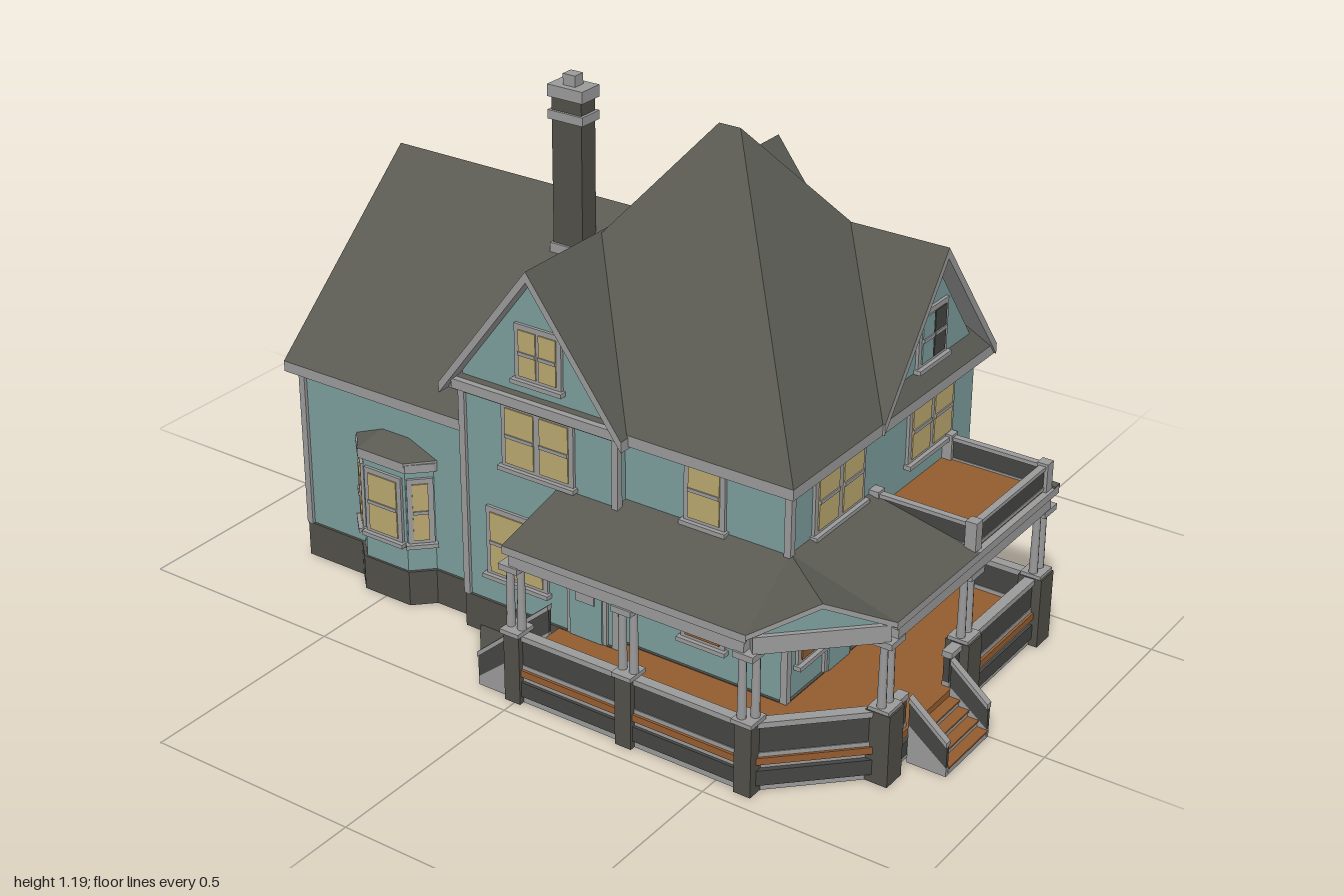
import * as THREE from 'three';

const mat = (name, color) => Object.assign(new THREE.MeshStandardMaterial({ color }), { name });

export function createModel() {
  const model = new THREE.Group();
  model.name = 'house';
  const wall = mat('teal siding', 0x7a9c9b), roof = mat('slate roof', 0x5a5a53), trim = mat('grey trim', 0x9a9a9a);
  const stone = mat('dark stone', 0x504f48), blind = mat('cream blind', 0xb9a770), wood = mat('brown wood', 0x935c30);
  const rail = mat('rail panel', 0x454643);
  const PI = Math.PI, R = PI / 2, L = -PI / 2;

  const add = (name, geo, m, parent = model) => {
    const mesh = new THREE.Mesh(geo, m);
    mesh.name = name;
    parent.add(mesh);
    return mesh;
  };
  // Box given by its limits
  const box = (name, m, x0, x1, y0, y1, z0, z1, parent) => {
    const b = add(name, new THREE.BoxGeometry(x1 - x0, y1 - y0, z1 - z0), m, parent);
    b.position.set((x0 + x1) / 2, (y0 + y1) / 2, (z0 + z1) / 2);
    return b;
  };
  const shape = (pts) => new THREE.Shape(pts.map(([a, b]) => new THREE.Vector2(a, b)));
  // Upright prism over an [x, z] footprint
  const prism = (name, m, pts, y0, y1) => {
    const g = new THREE.ExtrudeGeometry(shape(pts.map(([x, z]) => [x, -z])), { depth: y1 - y0, bevelEnabled: false });
    return add(name, g.rotateX(L).translate(0, y0, 0), m);
  };
  // Profile in [x, y] extruded along z, or in [-z, y] extruded along x
  const along = (axis, name, m, pts, a, b, parent) => {
    const g = new THREE.ExtrudeGeometry(shape(pts), { depth: b - a, bevelEnabled: false }).translate(0, 0, a);
    return add(name, axis === 'x' ? g.rotateY(R) : g, m, parent);
  };
  // Bar between two [x, z] points
  const bar = (name, m, a, b, y0, y1, w) => {
    const dx = b[0] - a[0], dz = b[1] - a[1];
    const s = add(name, new THREE.BoxGeometry(Math.hypot(dx, dz), y1 - y0, w), m);
    s.position.set((a[0] + b[0]) / 2, (y0 + y1) / 2, (a[1] + b[1]) / 2);
    s.rotation.y = -Math.atan2(dz, dx);
  };
  // Sloping roof slab: slate on top, trim on the edges and soffit
  const slab = (name, corners, t = 0.025) => {
    let p = corners.map((c) => new THREE.Vector3(...c));
    const n = p[1].clone().sub(p[0]).cross(p[2].clone().sub(p[0]));
    if (n.y < 0) p.reverse();
    const q = p.map((v) => v.clone().setY(v.y - t)), top = [], rest = [];
    for (let i = 1; i < p.length - 1; i++) {
      top.push(p[0], p[i], p[i + 1]);
      rest.push(q[0], q[i + 1], q[i]);
    }
    p.forEach((v, i) => {
      const j = (i + 1) % p.length;
      rest.push(v, q[i], q[j], v, q[j], p[j]);
    });
    const g = new THREE.BufferGeometry().setFromPoints([...top, ...rest]);
    g.addGroup(0, top.length, 0);
    g.addGroup(top.length, rest.length, 1);
    g.computeVertexNormals();
    add(name, g, [roof, trim]);
  };
  const spot = (name, x, y, z, ry) => {
    const g = new THREE.Group();
    g.name = name;
    g.position.set(x, y, z);
    g.rotation.y = ry;
    model.add(g);
    return g;
  };
  // Sash window centred at a point on a wall
  const win = (x, y, z, ry, w, h, pane = blind) => {
    const g = spot('window', x, y, z, ry), a = w / 2, b = h / 2;
    box('windowFrame', trim, -a - 0.012, a + 0.012, -b - 0.012, b + 0.012, -0.006, 0.006, g);
    box('pane', pane, -a, a, -b, b, 0.003, 0.009, g);
    box('sashBar', trim, -a, a, -0.004, 0.004, 0.006, 0.012, g);
    box('sill', trim, -a - 0.018, a + 0.018, -b - 0.018, -b - 0.008, -0.005, 0.016, g);
  };
  const door = (x, z, ry) => {
    const g = spot('door', x, 0.1, z, ry);
    box('doorFrame', trim, -0.052, 0.052, 0, 0.235, -0.006, 0.006, g);
    box('doorLeaf', wall, -0.042, 0.042, 0, 0.19, 0.003, 0.01, g);
    box('doorPanel', trim, -0.024, 0.024, 0.09, 0.17, 0.008, 0.013, g);
    box('transom', wood, -0.042, 0.042, 0.198, 0.227, 0.003, 0.01, g);
  };

  // Main walls on stone foundations
  const lower = [[-0.245, 0.53], [0.42, 0.53], [0.497, 0.45], [0.497, 0], [-0.245, 0]];
  const grow = (pts, cx, cz, d) => pts.map(([x, z]) => [x + Math.sign(x - cx) * d, z + Math.sign(z - cz) * d]);
  prism('frontFoundation', stone, grow(lower, 0.12, 0.25, 0.006), 0.015, 0.1);
  prism('frontLowerWalls', wall, lower, 0.1, 0.37);
  box('frontUpperWalls', wall, -0.245, 0.497, 0.37, 0.64, 0, 0.53);
  bar('cornerSoffit', trim, [0.36, 0.532], [0.5, 0.532], 0.365, 0.378, 0.012);
  bar('cornerSoffitSide', trim, [0.499, 0.532], [0.499, 0.13], 0.365, 0.378, 0.012);
  box('wingFoundation', stone, -0.281, 0.606, 0.015, 0.1, -0.276, 0.136);
  along('x', 'wingWalls', wall, [[-0.13, 0.1], [0.27, 0.1], [0.27, 0.64], [0.07, 0.908], [-0.13, 0.64]], -0.275, 0.6);
  box('rightWingRear', wall, 0.2, 0.6, 0.1, 0.6, -0.36, -0.2);
  box('rightWingRearFoundation', stone, 0.2, 0.606, 0.015, 0.1, -0.366, -0.2);
  box('rearFoundation', stone, -0.246, 0.566, 0.015, 0.1, -0.766, -0.1);
  along('z', 'rearWalls', wall, [[-0.24, 0.1], [0.56, 0.1], [0.56, 0.52], [0.155, 0.88], [-0.24, 0.525]], -0.76, -0.1);
  along('z', 'frontGableWall', wall, [[0.07, 0.6], [0.51, 0.6], [0.29, 0.895]], 0.4, 0.531);

  // Corner boards
  for (const [x, z, y] of [[-0.245, 0.53, 0.6], [-0.275, 0.13, 0.62], [-0.275, -0.27, 0.62], [0.6, 0.13, 0.62],
    [0.6, -0.36, 0.58], [0.56, -0.76, 0.5], [-0.24, -0.76, 0.5]])
    box('cornerBoard', trim, x - 0.008, x + 0.008, 0.1, y, z - 0.008, z + 0.008);
  // Cornices under the eaves
  const cornices = [[[-0.26, 0.54], [0.51, 0.54]], [[-0.255, 0.54], [-0.255, 0.13]], [[0.507, 0.54], [0.507, 0.13]],
    [[0.5, 0.14], [0.615, 0.14]], [[-0.29, 0.14], [-0.24, 0.14]], [[0.61, 0.145], [0.61, -0.36]],
    [[-0.285, 0.145], [-0.285, -0.285]], [[-0.29, -0.28], [-0.2, -0.28]]];
  for (const [a, b] of cornices) bar('cornice', trim, a, b, 0.603, 0.625, 0.022);

  // Steep hip roof
  const e = 0.62, h = 1.155, A = [0.12, h, 0.16], B = [0.12, h, 0.107];
  const FL = [-0.285, e, 0.56], FR = [0.527, e, 0.56], BL = [-0.285, e, -0.3], BR = [0.527, e, -0.3];
  slab('hipFront', [FL, FR, A]);
  slab('hipBack', [BL, BR, B]);
  slab('hipLeft', [FL, A, B, BL]);
  slab('hipRight', [FR, A, B, BR]);
  // Front gable, cross gable and rear gable roofs
  slab('frontGableLeft', [[0.29, 0.93, 0.565], [0.055, e, 0.565], [0.055, e, 0.5], [0.29, 0.93, 0.32]]);
  slab('frontGableRight', [[0.29, 0.93, 0.565], [0.53, e, 0.565], [0.53, e, 0.3], [0.29, 0.93, 0.3]]);
  for (const z of [0.166, -0.308])
    slab('crossGable', [[-0.31, 0.93, -0.07], [0.633, 0.93, -0.07], [0.633, 0.615, z], [-0.31, 0.615, z]]);
  for (const x of [-0.272, 0.584])
    slab('rearGable', [[0.155, 0.9, -0.787], [x, 0.515, -0.787], [x, 0.515, -0.09], [0.155, 0.9, -0.09]]);
  slab('sideShed', [[0.39, 0.695, -0.388], [0.633, 0.6, -0.388], [0.633, 0.6, -0.2], [0.39, 0.695, -0.2]]);

  // Chimney
  box('chimneyShaft', stone, 0.048, 0.097, 0.6, 1.17, -0.27, -0.192);
  box('chimneyFlashing', trim, 0.042, 0.103, 0.75, 0.82, -0.276, -0.186);
  for (const [y0, y1] of [[1.105, 1.125], [1.155, 1.182]]) box('chimneyBand', trim, 0.042, 0.103, y0, y1, -0.277, -0.185);
  box('chimneyPot', trim, 0.058, 0.087, 1.18, 1.207, -0.247, -0.215);

  // Front windows and door
  for (const x of [-0.112, -0.018, 0.26, 0.352]) win(x, 0.525, 0.531, 0, 0.076, 0.13);
  win(-0.155, 0.253, 0.531, 0, 0.085, 0.145, wood);
  door(-0.052, 0.531, 0);
  win(0.185, 0.253, 0.531, 0, 0.05, 0.145);
  win(0.28, 0.253, 0.531, 0, 0.1, 0.145);
  win(0.372, 0.253, 0.531, 0, 0.04, 0.145);
  win(0.266, 0.728, 0.532, 0, 0.046, 0.105, wall);
  win(0.316, 0.728, 0.532, 0, 0.046, 0.105, rail);
  win(0.459, 0.253, 0.491, PI / 4, 0.07, 0.145);
  win(0.545, 0.525, 0.131, 0, 0.066, 0.13, wood);
  win(0.545, 0.253, 0.131, 0, 0.066, 0.145);
  // Right windows
  for (const z of [-0.066, -0.155]) win(0.601, 0.525, z, R, 0.074, 0.13);
  for (const s of [1, -1]) for (const z of [-0.038, -0.09]) win(s > 0 ? 0.601 : -0.276, 0.728, z, s * R, 0.044, 0.105);
  win(0.601, 0.255, -0.11, R, 0.1, 0.145);
  win(0.601, 0.27, -0.285, R, 0.065, 0.085, wood);
  win(0.561, 0.26, -0.415, R, 0.062, 0.105);
  win(0.561, 0.258, -0.612, R, 0.075, 0.145, wood);
  // Left windows and side door
  for (const z of [-0.025, -0.115]) win(-0.276, 0.525, z, L, 0.074, 0.13);
  win(-0.276, 0.253, -0.13, L, 0.14, 0.145);
  door(-0.276, 0.055, L);
  win(-0.246, 0.525, 0.33, L, 0.076, 0.13);
  win(-0.246, 0.253, 0.33, L, 0.085, 0.145, wood);
  // Rear windows and door
  for (const [x, hh, m] of [[0.39, 0.13, wood], [0.22, 0.085, blind], [0.01, 0.13, blind]]) win(x, 0.56, -0.761, PI, 0.075, hh, m);
  win(0.43, 0.28, -0.761, PI, 0.07, 0.12);
  win(0.06, 0.255, -0.761, PI, 0.075, 0.17);
  door(0.22, -0.761, PI);

  // Left bay window
  const bay = [[-0.2, -0.61], [-0.24, -0.6], [-0.285, -0.555], [-0.285, -0.435], [-0.24, -0.39], [-0.2, -0.38]];
  prism('bayFoundation', stone, grow(bay, -0.1, -0.495, 0.005), 0.015, 0.1);
  prism('bayWalls', wall, bay, 0.1, 0.36);
  prism('bayCornice', trim, grow(bay, -0.1, -0.495, 0.008), 0.35, 0.37);
  slab('bayRoofFront', [[-0.295, 0.375, -0.56], [-0.295, 0.375, -0.43], [-0.235, 0.41, -0.46], [-0.235, 0.41, -0.53]], 0.01);
  slab('bayRoofBackSide', [[-0.295, 0.375, -0.56], [-0.235, 0.375, -0.615], [-0.235, 0.41, -0.53]], 0.01);
  slab('bayRoofFrontSide', [[-0.295, 0.375, -0.43], [-0.235, 0.375, -0.375], [-0.235, 0.41, -0.46]], 0.01);
  win(-0.286, 0.25, -0.495, L, 0.08, 0.14);
  win(-0.263, 0.25, -0.578, -0.75 * PI, 0.035, 0.14);
  win(-0.263, 0.25, -0.412, -0.25 * PI, 0.035, 0.14);

  // Wraparound porch: skirt, floor, railings and beams
  const deck = [[-0.46, -0.02], [-0.46, 0.575], [-0.255, 0.78], [0.41, 0.78], [0.41, 0.5], [-0.24, 0.5], [-0.24, -0.02]];
  prism('porchSkirt', trim, grow(deck, -0.1, 0.4, -0.008), 0.015, 0.082);
  prism('porchFloor', wood, deck, 0.082, 0.098);
  const P = [[-0.445, -0.005], [-0.445, 0.28], [-0.445, 0.57], [-0.25, 0.765], [0.07, 0.765], [0.39, 0.765], [0.39, 0.55]];
  for (let i = 0; i < P.length - 1; i++) {
    const a = P[i], b = P[i + 1];
    bar('porchBeam', trim, a, b, 0.345, 0.384, 0.045);
    bar('skirtPanel', rail, a, b, 0.033, 0.068, 0.028);
    const parts = i === 3 ? [[a, [-0.175, 0.765]], [[0, 0.765], b]] : [[a, b]];
    for (const [p, q] of parts) {
      bar('railPanel', rail, p, q, 0.108, 0.167, 0.014);
      bar('railCap', trim, p, q, 0.167, 0.18, 0.024);
      bar('railFoot', trim, p, q, 0.096, 0.108, 0.018);
    }
  }
  // Stone piers with paired columns
  P.forEach(([x, z], i) => {
    const w = i > 2 && i < 6 ? 0.028 : 0.02;
    box('pier', stone, x - w, x + w, 0.015, 0.182, z - w, z + w);
    const [ux, uz] = i < 2 || i === 6 ? [0, 1] : i === 2 ? [0.7, 0.7] : [1, 0];
    for (const s of [-0.014, 0.014]) {
      const c = add('column', new THREE.CylinderGeometry(0.008, 0.01, 0.165, 10), trim);
      c.position.set(x + ux * s, 0.264, z + uz * s);
    }
    box('capital', trim, x - 0.027, x + 0.027, 0.333, 0.347, z - 0.024, z + 0.024);
    box('columnBase', trim, x - 0.027, x + 0.027, 0.18, 0.19, z - 0.024, z + 0.024);
  });

  // Porch roof with a small diagonal pediment
  const C = [-0.47, 0.39, 0.575], D = [-0.26, 0.39, 0.79], M = [-0.365, 0.447, 0.6825], N = [-0.24, 0.447, 0.53];
  slab('porchRoofFront', [D, [0.07, 0.39, 0.79], [0.07, 0.447, 0.53], N], 0.018);
  slab('porchRoofLeft', [C, [-0.47, 0.39, -0.02], [-0.24, 0.447, -0.02], N], 0.018);
  slab('pedimentRoofLeft', [C, M, N], 0.012);
  slab('pedimentRoofRight', [D, M, N], 0.012);
  const ped = spot('pediment', -0.357, 0.38, 0.675, -PI / 4);
  along('z', 'pedimentWall', wall, [[-0.13, 0], [0.13, 0], [0, 0.055]], -0.02, 0, ped);
  // Balcony over the porch
  box('balconyBase', trim, 0.06, 0.42, 0.372, 0.39, 0.53, 0.79);
  box('balconyFloor', wood, 0.065, 0.4, 0.39, 0.397, 0.53, 0.775);
  box('balconyEdge', roof, 0.4, 0.422, 0.385, 0.394, 0.45, 0.79);
  const Q = [[0.075, 0.54], [0.075, 0.77], [0.385, 0.77], [0.385, 0.54]];
  Q.forEach(([x, z], i) => {
    box('balconyPost', trim, x - 0.013, x + 0.013, 0.388, 0.457, z - 0.013, z + 0.013);
    if (!i) return;
    bar('balconyPanel', rail, Q[i - 1], Q[i], 0.402, 0.442, 0.01);
    bar('balconyCap', trim, Q[i - 1], Q[i], 0.442, 0.451, 0.016);
    bar('balconyFoot', trim, Q[i - 1], Q[i], 0.394, 0.402, 0.014);
  });

  // Steps descending along local +z, with sloping side rails
  const steps = (name, x, z, ry, w, run, n = 4) => {
    const g = spot(name, x, 0.015, z, ry), d = run / n, a = w / 2;
    for (let i = 0; i < n; i++) {
      const y = 0.08 * (n - i) / (n + 1);
      box('riser', trim, -a, a, 0, y, i * d, (i + 1) * d, g);
      box('tread', wood, -a, a, y, y + 0.004, i * d, (i + 1) * d + 0.003, g);
    }
    for (const s of [-1, 1]) {
      const c = s * (a + 0.005);
      along('x', 'stringer', trim, [[0, 0], [0, 0.09], [-run, 0.02], [-run, 0]], c - 0.004, c + 0.004, g);
      along('x', 'stairRail', rail, [[0, 0.09], [0, 0.145], [-run, 0.07], [-run, 0.02]], c - 0.004, c + 0.004, g);
      along('x', 'handrail', trim, [[0, 0.145], [0, 0.157], [-run, 0.082], [-run, 0.07]], c - 0.008, c + 0.008, g);
    }
  };
  steps('frontSteps', -0.088, 0.78, 0, 0.16, 0.09);
  steps('sideSteps', -0.38, -0.02, PI, 0.125, 0.085);
  prism('sidePath', stone, [[-0.45, -0.1], [-0.275, -0.1], [-0.275, -0.24], [-0.31, -0.215]], 0.015, 0.03);
  box('backLandingBase', trim, 0.14, 0.305, 0.015, 0.082, -0.9, -0.76);
  box('backLanding', wood, 0.137, 0.308, 0.082, 0.097, -0.902, -0.76);
  for (const x of [0.145, 0.3]) {
    bar('landingRail', rail, [x, -0.9], [x, -0.766], 0.105, 0.16, 0.01);
    bar('landingCap', trim, [x, -0.9], [x, -0.766], 0.16, 0.172, 0.016);
  }
  steps('backSteps', 0.226, -0.9, PI, 0.1, 0.1);

  // Sloping cellar hatch
  along('x', 'hatchDoors', wood, [[0.76, 0.015], [0.76, 0.076], [0.95, 0.026], [0.95, 0.015]], 0.34, 0.46);
  for (const x of [0.325, 0.46])
    along('x', 'hatchCheek', stone, [[0.76, 0.015], [0.76, 0.09], [0.96, 0.034], [0.96, 0.015]], x, x + 0.015);
  bar('hatchSeam', stone, [0.34, -0.95], [0.46, -0.95], 0.015, 0.034, 0.012);
  return model;
}
